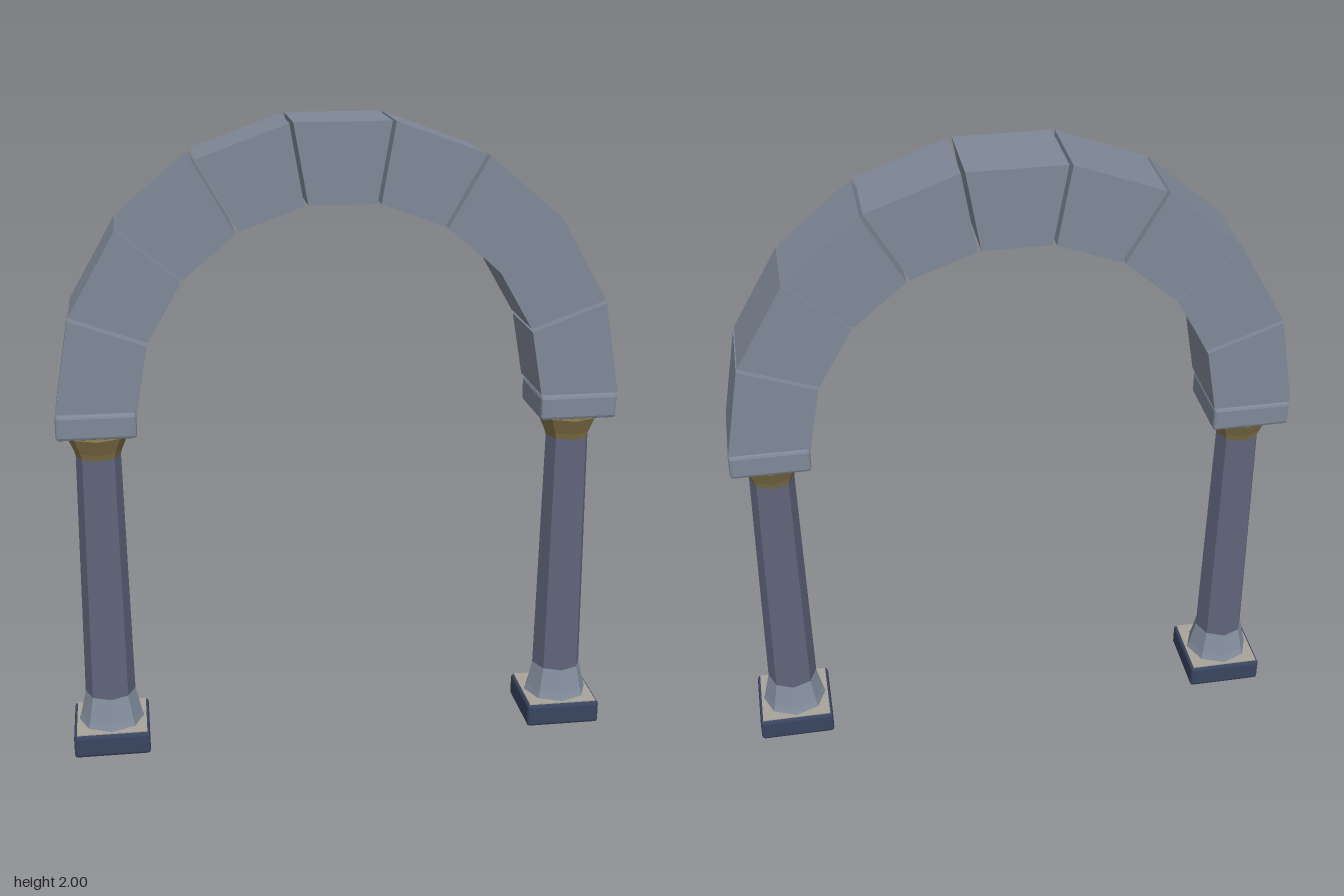
import * as THREE from 'three';
import { RoundedBoxGeometry } from 'three/addons/geometries/RoundedBoxGeometry.js';

const mat = (color) => new THREE.MeshStandardMaterial({ color, flatShading: true });
const archStone = mat(0x7f8898);
const shaftStone = mat(0x62667c);
const baseStone = mat(0x848f9f);
const plinthStone = mat(0x39445f);
const plinthTop = mat(0xa8a49a);
const gold = mat(0x84744a);

function add(parent, name, geometry, material, x = 0, y = 0) {
  const mesh = new THREE.Mesh(geometry, material);
  mesh.name = name;
  mesh.position.set(x, y, 0);
  parent.add(mesh);
  return mesh;
}

// Eight-sided turned section, corners on the axes, closed at both ends
function turned(profile) {
  const pts = [[0, profile[0][1]], ...profile, [0, profile[profile.length - 1][1]]];
  return new THREE.LatheGeometry(pts.map(([r, y]) => new THREE.Vector2(r, y)), 8);
}

// Square block with narrow chamfers
const block = (width, height) => new RoundedBoxGeometry(width, height, width, 1, 0.01);

// One wedge stone of the arch, built upright and centred on the arch axis
function wedgeGeometry(outer, inner, step, gap, depth) {
  const c = Math.cos(step / 2), s = Math.sin(step / 2);
  const shift = gap / 2;
  const shape = new THREE.Shape([
    new THREE.Vector2(-inner * s + shift, inner * c),
    new THREE.Vector2(inner * s - shift, inner * c),
    new THREE.Vector2(outer * s - shift, outer * c),
    new THREE.Vector2(-outer * s + shift, outer * c),
  ]);
  return new THREE.ExtrudeGeometry(shape, { depth, bevelEnabled: false }).translate(0, 0, -depth / 2);
}

function makeColumn() {
  const column = new THREE.Group();
  add(column, 'plinth', block(0.242, 0.076), plinthStone, 0, 0.038);
  add(column, 'plinthTop', new THREE.BoxGeometry(0.224, 0.006, 0.224), plinthTop, 0, 0.076);
  add(column, 'columnBase', turned([[0.105, 0.078], [0.098, 0.1], [0.08, 0.18]]), baseStone);
  add(column, 'shaft', turned([[0.08, 0.18], [0.069, 0.99]]), shaftStone);
  add(column, 'capital', turned([[0.069, 0.985], [0.075, 1.005], [0.097, 1.055]]), gold);
  add(column, 'impost', block(0.242, 0.078), archStone, 0, 1.109);
  return column;
}

export function createModel() {
  const model = new THREE.Group();
  model.name = 'stoneArch';

  // Pair of columns
  for (const side of [1, -1]) {
    const column = makeColumn();
    column.name = side > 0 ? 'leftColumn' : 'rightColumn';
    column.position.x = side * 0.743;
    model.add(column);
  }

  // Nine wedge stones around a half circle
  const count = 9, step = Math.PI / count;
  const geometry = wedgeGeometry(0.863, 0.62, step, 0.012, 0.25);
  const arch = new THREE.Group();
  arch.name = 'arch';
  arch.position.y = 1.15;
  for (let i = 0; i < count; i++) {
    const k = i - (count - 1) / 2;
    add(arch, k === 0 ? 'keystone' : 'archStone', geometry, archStone).rotation.z = -k * step;
  }
  model.add(arch);
  return model;
}
